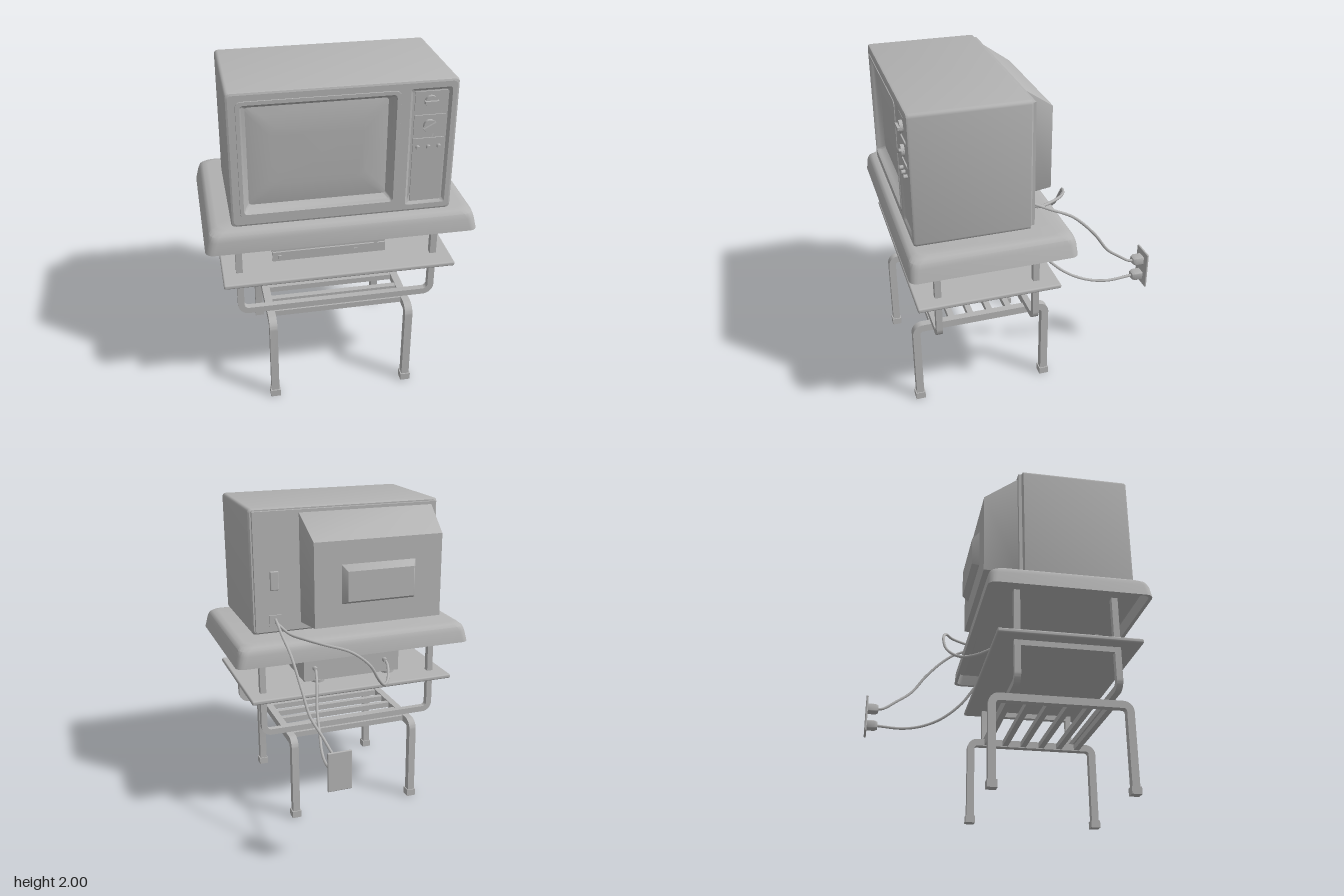
import * as THREE from 'three';
import { toCreasedNormals } from 'three/addons/utils/BufferGeometryUtils.js';
import { RoundedBoxGeometry } from 'three/addons/geometries/RoundedBoxGeometry.js';

const grey = new THREE.MeshStandardMaterial({ color: 0xb4b4b4 });
grey.name = 'plain grey';

// Counter-clockwise outline of a rounded rectangle
function roundRect(x0, x1, y0, y1, r, n = 4) {
  const pts = [];
  [[x1 - r, y1 - r], [x0 + r, y1 - r], [x0 + r, y0 + r], [x1 - r, y0 + r]].forEach(([cx, cy], c) => {
    for (let i = 0; i <= n; i++) {
      const a = (c + i / n) * Math.PI / 2;
      pts.push(new THREE.Vector2(cx + r * Math.cos(a), cy + r * Math.sin(a)));
    }
  });
  return pts;
}

// Skin over rounded rectangles [x0, x1, y0, y1, radius, z], with optional end caps
function loft(rings, capStart, capEnd, move) {
  const pos = [], idx = [];
  const loops = rings.map(([x0, x1, y0, y1, r]) => roundRect(x0, x1, y0, y1, r));
  const n = loops[0].length;
  loops.forEach((loop, k) => loop.forEach(p => pos.push(p.x, p.y, rings[k][5])));
  for (let k = 0; k < rings.length - 1; k++) {
    for (let i = 0; i < n; i++) {
      const j = (i + 1) % n, a = k * n + i, b = k * n + j;
      idx.push(a, b, b + n, a, b + n, a + n);
    }
  }
  const last = (rings.length - 1) * n;
  for (let i = 1; i < n - 1; i++) {
    if (capStart) idx.push(0, i + 1, i);
    if (capEnd) idx.push(last, last + i, last + i + 1);
  }
  const g = new THREE.BufferGeometry();
  g.setAttribute('position', new THREE.Float32BufferAttribute(pos, 3));
  g.setIndex(idx);
  if (move) move(g);
  return toCreasedNormals(g, 0.6);
}

// Bent square bar: an arch standing on y = 0, centred in depth
function archBar(w, h, t, r) {
  const s = new THREE.Shape(), q = r - t;
  s.moveTo(-w, 0);
  s.lineTo(-w + t, 0);
  s.lineTo(-w + t, h - r);
  s.absarc(-w + r, h - r, q, Math.PI, Math.PI / 2, true);
  s.absarc(w - r, h - r, q, Math.PI / 2, 0, true);
  s.lineTo(w - t, 0);
  s.lineTo(w, 0);
  s.absarc(w - r, h - r, r, 0, Math.PI / 2, false);
  s.absarc(-w + r, h - r, r, Math.PI / 2, Math.PI, false);
  const g = new THREE.ExtrudeGeometry(s, { depth: t, bevelEnabled: false, curveSegments: 6 });
  g.translate(0, 0, -t / 2);
  return toCreasedNormals(g, 0.6);
}

export function createModel() {
  const model = new THREE.Group();
  model.name = 'televisionOnStand';
  const add = (name, geo, x = 0, y = 0, z = 0, parent = model) => {
    const m = new THREE.Mesh(geo, grey);
    m.name = name;
    m.position.set(x, y, z);
    parent.add(m);
    return m;
  };
  const group = name => {
    const g = new THREE.Group();
    g.name = name;
    model.add(g);
    return g;
  };
  // Box given by its limits
  const box = (name, x0, x1, y0, y1, z0, z1, parent) =>
    add(name, new THREE.BoxGeometry(x1 - x0, y1 - y0, z1 - z0), (x0 + x1) / 2, (y0 + y1) / 2, (z0 + z1) / 2, parent);
  const disc = (name, r, d, x, y, z, parent, n = 16) =>
    add(name, new THREE.CylinderGeometry(r, r, d, n).rotateX(Math.PI / 2), x, y, z, parent);

  // Stand: lower arches with feet
  const stand = group('stand');
  for (const x of [-0.41, 0.41]) {
    add('legArch', archBar(0.435, 0.56, 0.046, 0.065), x, 0, 0.315, stand).rotation.y = Math.PI / 2;
    for (const z of [-0.097, 0.727]) box('foot', x - 0.03, x + 0.03, 0, 0.045, z - 0.03, z + 0.03, stand);
  }
  for (let i = 0; i < 6; i++) {
    const z = 0.01 + i * 0.122;
    box('slat', -0.4, 0.4, 0.52, 0.555, z - 0.018, z + 0.018, stand);
  }
  // Stand: upper frames, shelf bars and shelf
  for (const z of [0.02, 0.615]) add('upperFrame', archBar(0.597, 0.59, 0.038, 0.065), -0.005, 1.15, z, stand).rotation.z = Math.PI;
  for (const x of [-0.583, 0.573]) box('shelfBar', x - 0.018, x + 0.018, 0.79, 0.826, 0, 0.634, stand);
  add('shelf', new RoundedBoxGeometry(1.355, 0.028, 0.86, 2, 0.01), -0.005, 0.838, 0.32, stand);

  // Padded top with a draped hem that flares at the corners
  const top = (inset, r, y) => [-0.755 + inset, 0.755 - inset, -0.795 + inset, 0.17 - inset, r, y];
  const cloth = [
    top(0.04, 0.03, 1.165), top(0.03, 0.03, 1.16), top(0.02, 0.035, 1.125), top(0, 0.045, 1.122),
    top(0, 0.05, 1.165), top(0.01, 0.055, 1.195), top(0.03, 0.06, 1.212), top(0.06, 0.06, 1.219)];
  add('clothTop', loft(cloth, true, true, g => {
    g.rotateX(-Math.PI / 2);
    const p = g.attributes.position;
    for (let i = 0; i < p.count; i++) {
      const x = p.getX(i), y = p.getY(i), z = p.getZ(i);
      if (y > 1.15 || Math.abs(x) < 0.69) continue;
      const front = z > 0.3 ? 1 : -1;
      p.setXYZ(i, x + Math.sign(x) * 0.017, y - 0.03, z + front * 0.005);
    }
  }));

  // Television cabinet
  const tv = group('television');
  const cab = (i, z) => [-0.62 + i, 0.613 - i, 1.222 + i, 2 - i, 0.022, z];
  add('cabinet', loft([cab(0.01, 0.058), cab(0, 0.068), cab(0, 0.725), cab(0.004, 0.736), cab(0.014, 0.74)], true, false), 0, 0, 0, tv);
  const scr = (i, r, z) => [-0.57 + i, 0.298 - i, 1.275 + i, 1.953 - i, r, z];
  const ctl = (i, z) => [0.348 + i, 0.575 - i, 1.265 + i, 1.955 - i, 0.015, z];
  const face = new THREE.Shape(roundRect(...cab(0.014, 0).slice(0, 5)));
  face.holes.push(new THREE.Path(roundRect(...scr(0.005, 0.025, 0).slice(0, 5)).reverse()));
  face.holes.push(new THREE.Path(roundRect(...ctl(0, 0).slice(0, 5)).reverse()));
  add('frontFace', new THREE.ShapeGeometry(face), 0, 0, 0.74, tv);
  add('screenBezel', loft([
    scr(0, 0.03, 0.738), scr(0.002, 0.03, 0.744), scr(0.022, 0.02, 0.744), scr(0.03, 0.015, 0.728), scr(0.034, 0.015, 0.715),
    scr(0.055, 0.015, 0.69)], false, false), 0, 0, 0, tv);
  add('screen', loft([scr(0.05, 0.02, 0.69), scr(0.1, 0.03, 0.7), scr(0.18, 0.04, 0.706)], false, true), 0, 0, 0, tv);

  // Control panel
  add('controlRecess', loft([ctl(0, 0.74), ctl(0.015, 0.726)], false, true), 0, 0, 0, tv);
  for (const [y0, y1] of [[1.825, 1.935], [1.69, 1.8], [1.29, 1.665]]) box('controlPlate', 0.375, 0.55, y0, y1, 0.725, 0.733, tv);
  for (const [y, turn] of [[1.88, 0], [1.742, 0.5]]) {
    disc('dial', 0.034, 0.02, 0.46, y, 0.742, tv, 20);
    const grip = box('dialGrip', 0.422, 0.498, y - 0.008, y + 0.008, 0.74, 0.765, tv);
    grip.rotation.z = turn;
  }
  for (const x of [0.402, 0.461, 0.52]) disc('button', 0.012, 0.03, x, 1.615, 0.74, tv, 12);

  // Back of the television
  box('backPanel', -0.602, 0.594, 1.24, 1.982, 0.038, 0.06, tv);
  add('tubeHousing', loft([[-0.55, 0.283, 1.295, 1.82, 0.002, -0.17], [-0.572, 0.306, 1.28, 1.965, 0.002, 0.04]], true, false), 0, 0, 0, tv);
  add('housingCap', loft([[-0.345, 0.083, 1.455, 1.64, 0.002, -0.213], [-0.375, 0.113, 1.43, 1.68, 0.002, -0.165]], true, false), 0, 0, 0, tv);
  add('backSlot', new RoundedBoxGeometry(0.055, 0.12, 0.016, 2, 0.007), 0.47, 1.56, 0.036, tv);
  box('cableSocket', 0.43, 0.51, 1.275, 1.345, 0.028, 0.04, tv);

  // Video player on the shelf
  const player = group('videoPlayer');
  box('playerBody', -0.375, 0.285, 0.868, 1.008, 0.06, 0.555, player);
  box('playerLowerFront', -0.382, 0.292, 0.868, 0.927, 0.555, 0.575, player);
  box('playerUpperFront', -0.382, 0.292, 0.932, 1.01, 0.555, 0.572, player);
  box('display', -0.22, 0.122, 0.945, 0.99, 0.57, 0.577, player);
  disc('playerKnob', 0.031, 0.025, 0.23, 0.97, 0.58, player, 20);
  for (const [x, y] of [[-0.345, 0.98], [-0.34, 0.895], [0.112, 0.895]]) box('playerButton', x - 0.01, x + 0.01, y - 0.012, y + 0.012, 0.57, 0.582, player);
  for (const x of [-0.31, 0.18]) for (const z of [0.1, 0.5]) disc('playerFoot', 0.045, 0.02, x, 0.86, z, player).rotation.x = Math.PI / 2;
  for (const x of [-0.27, 0.215]) disc('jack', 0.015, 0.045, x, 0.955, 0.042, player, 10);

  // Wall outlet with two plugs
  const outlet = group('wallOutlet');
  add('outletPlate', new RoundedBoxGeometry(0.145, 0.24, 0.014, 2, 0.005), 0.355, 0.658, -0.793, outlet);
  for (const y of [0.712, 0.598]) {
    const p = (w, h, z) => [0.355 - w, 0.355 + w, y - h, y + h, 0.008, z];
    add('plug', loft([p(0.033, 0.027, -0.787), p(0.033, 0.027, -0.735), p(0.026, 0.02, -0.718)], true, true), 0, 0, 0, outlet);
  }

  // Cables
  const cable = (name, pts) => add(name, new THREE.TubeGeometry(
    new THREE.CatmullRomCurve3(pts.map(p => new THREE.Vector3(...p))), 48, 0.009, 8));
  cable('televisionPowerCable', [
    [0.47, 1.32, 0.035], [0.468, 1.25, -0.1], [0.46, 1.17, -0.25], [0.448, 1.02, -0.4], [0.43, 0.88, -0.5],
    [0.39, 0.79, -0.6], [0.362, 0.72, -0.69], [0.355, 0.712, -0.725]]);
  cable('playerPowerCable', [
    [0.215, 0.955, 0.03], [0.24, 0.91, -0.06], [0.28, 0.76, -0.18], [0.305, 0.66, -0.3], [0.335, 0.61, -0.42],
    [0.355, 0.59, -0.55], [0.355, 0.598, -0.725]]);
  cable('signalCable', [
    [0.47, 1.3, 0.035], [0.41, 1.245, -0.06], [0.34, 1.235, -0.18], [0.26, 1.22, -0.255], [0.1, 1.17, -0.315],
    [-0.01, 1.08, -0.342], [-0.07, 0.98, -0.325], [-0.14, 0.905, -0.25], [-0.21, 0.895, -0.15], [-0.26, 0.94, -0.03], [-0.27, 0.955, 0.03]]);

  return model;
}
